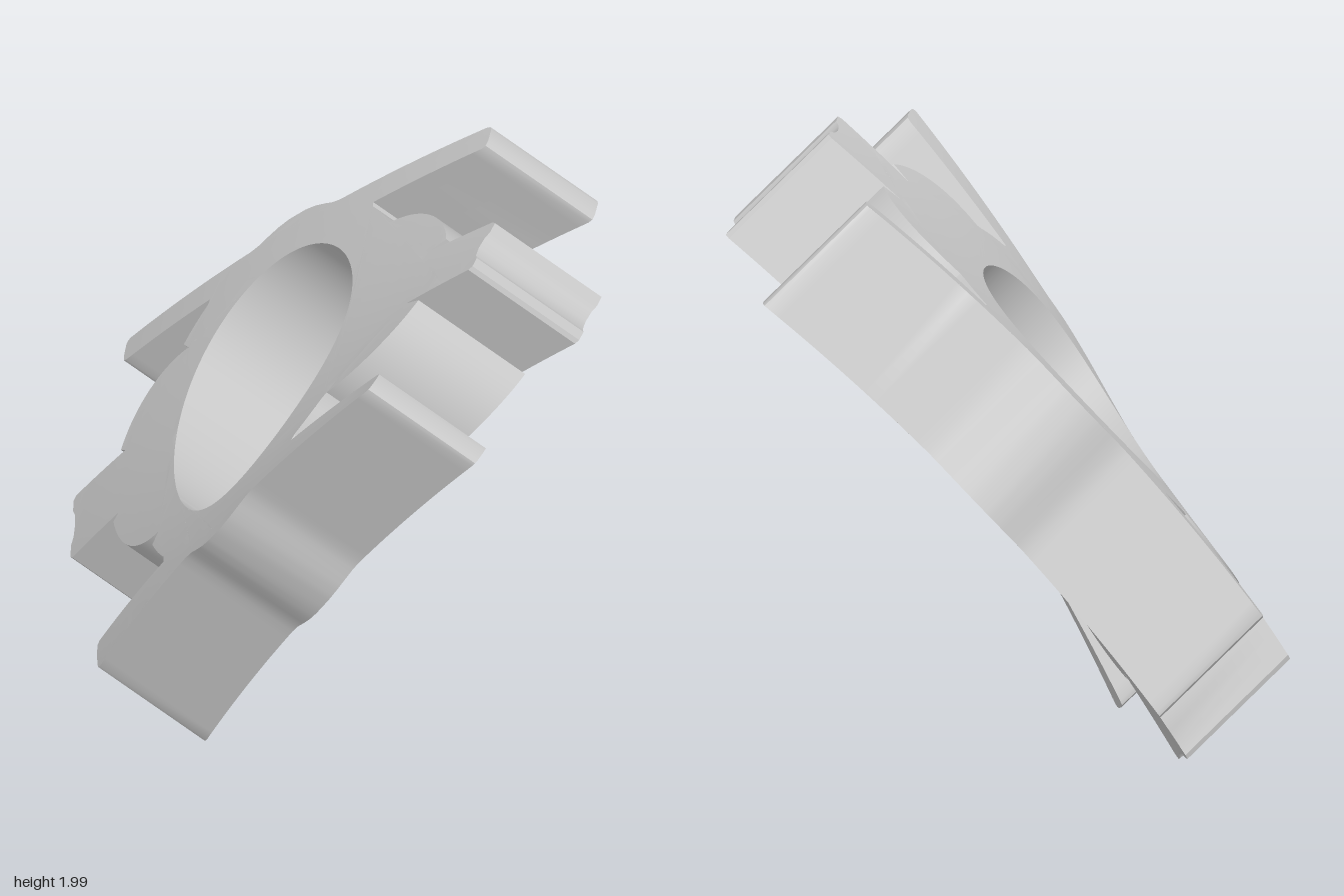
import * as THREE from 'three';
import { toCreasedNormals } from 'three/addons/utils/BufferGeometryUtils.js';

const DEPTH = 0.445;
const arc = (cx, cy, r, a0, a1, n) => Array.from({ length: n + 1 }, (_, i) => {
  const a = THREE.MathUtils.degToRad(a0 + (a1 - a0) * i / n);
  return [cx + r * Math.cos(a), cy + r * Math.sin(a)];
});

// Half outline of one end: fin tip, slit, round lobe, ring, notch, long prong
const endOutline = (tip, slit, lobeY, lobeR, prong) => [
  [0, tip - 0.02], [0.04, tip - 0.014], [0.06, tip], [0.1, tip + 0.002], [0.11, tip - 0.012],
  [0.115, slit],
  ...arc(0, lobeY, lobeR, 68, 0, 18),
  ...arc(0, 0, 0.63, 53, 40, 4),
  [0.502, 0.4],
  [0.51, prong - 0.02], [0.516, prong - 0.005], [0.535, prong], [0.58, prong], [0.592, prong - 0.006],
  [0.597, prong - 0.02], [0.597, 0.22],
];

// Cut long outline edges into short pieces
function subdivide(points, step) {
  const out = [];
  points.forEach((p, i) => {
    const q = points[(i + 1) % points.length];
    const n = Math.max(1, Math.ceil(Math.hypot(q[0] - p[0], q[1] - p[1]) / step));
    for (let k = 0; k < n; k++) {
      out.push(new THREE.Vector2(p[0] + (q[0] - p[0]) * k / n, p[1] + (q[1] - p[1]) * k / n));
    }
  });
  return out;
}

// Halve the longest edge of a triangle until it is fine enough to bend
function splitTriangle(a, b, c, limit, out) {
  const span = (p, q) => Math.hypot(p.x - q.x, p.y - q.y);
  const ab = span(a, b), bc = span(b, c), ca = span(c, a);
  const longest = Math.max(ab, bc, ca);
  if (longest <= limit) {
    out.push(a, b, c);
  } else if (longest === ab) {
    const mid = a.clone().add(b).multiplyScalar(0.5);
    splitTriangle(a, mid, c, limit, out);
    splitTriangle(mid, b, c, limit, out);
  } else {
    // Turn the corners until the longest edge comes first
    splitTriangle(b, c, a, limit, out);
  }
}

// Height of the twisted, arched surface over the flat outline
const bend = (u, v) => -0.005 + 0.015 * u - 0.077 * v - 0.01 * u * u + 0.184 * u * v
  + 0.068 * v * v - 0.138 * u * u * v;

export function createModel() {
  const group = new THREE.Group();

  // Outline: right half from top to bottom, then its mirror image
  const top = endOutline(1.087, 0.79, 0.52, 0.365, 0.9);
  const bottom = endOutline(1.075, 0.765, 0.47, 0.35, 0.88).map(([x, y]) => [x, -y]).reverse();
  const bulge = [[0.603, 0.18], [0.617, 0.14], [0.632, 0.09], [0.64, 0.04]];
  const right = [...top, ...bulge, ...bulge.map(([x, y]) => [x, -y]).reverse(), ...bottom];
  const left = right.slice(1, -1).map(([x, y]) => [-x, y]).reverse();
  const shape = new THREE.Shape(subdivide([...right, ...left], 0.045));

  // Central opening, wound opposite to the outline
  const hole = new THREE.Path();
  hole.absellipse(0, 0, 0.48, 0.442, 0, Math.PI * 2, false);
  shape.holes.push(hole);

  const flat = new THREE.ExtrudeGeometry(shape, { depth: DEPTH, bevelEnabled: false, curveSegments: 72 });
  flat.translate(0, 0, -DEPTH);

  // Refine the faces, then bend them
  const pos = flat.attributes.position;
  const corner = (i) => new THREE.Vector3().fromBufferAttribute(pos, i);
  const points = [];
  for (let i = 0; i < pos.count; i += 3) {
    splitTriangle(corner(i), corner(i + 1), corner(i + 2), 0.08, points);
  }
  const bent = points.map((p) => new THREE.Vector3(p.x, p.y, p.z + bend(p.x, p.y)));
  const geometry = new THREE.BufferGeometry().setFromPoints(bent);

  // Tilt and move into place
  const m = new THREE.Vector3(0.5, -0.669, 0.552).normalize();
  const u = new THREE.Vector3(0.117, 0.683, 0.721).cross(m).normalize();
  const v = m.clone().cross(u);
  geometry.applyMatrix4(new THREE.Matrix4().makeBasis(u, v, m).setPosition(0.068, 0.945, 0.122));

  const mesh = new THREE.Mesh(
    toCreasedNormals(geometry, 0.5),
    new THREE.MeshStandardMaterial({ color: 0xcccccc }),
  );
  mesh.name = 'curvedRingPlate';
  group.add(mesh);
  return group;
}
